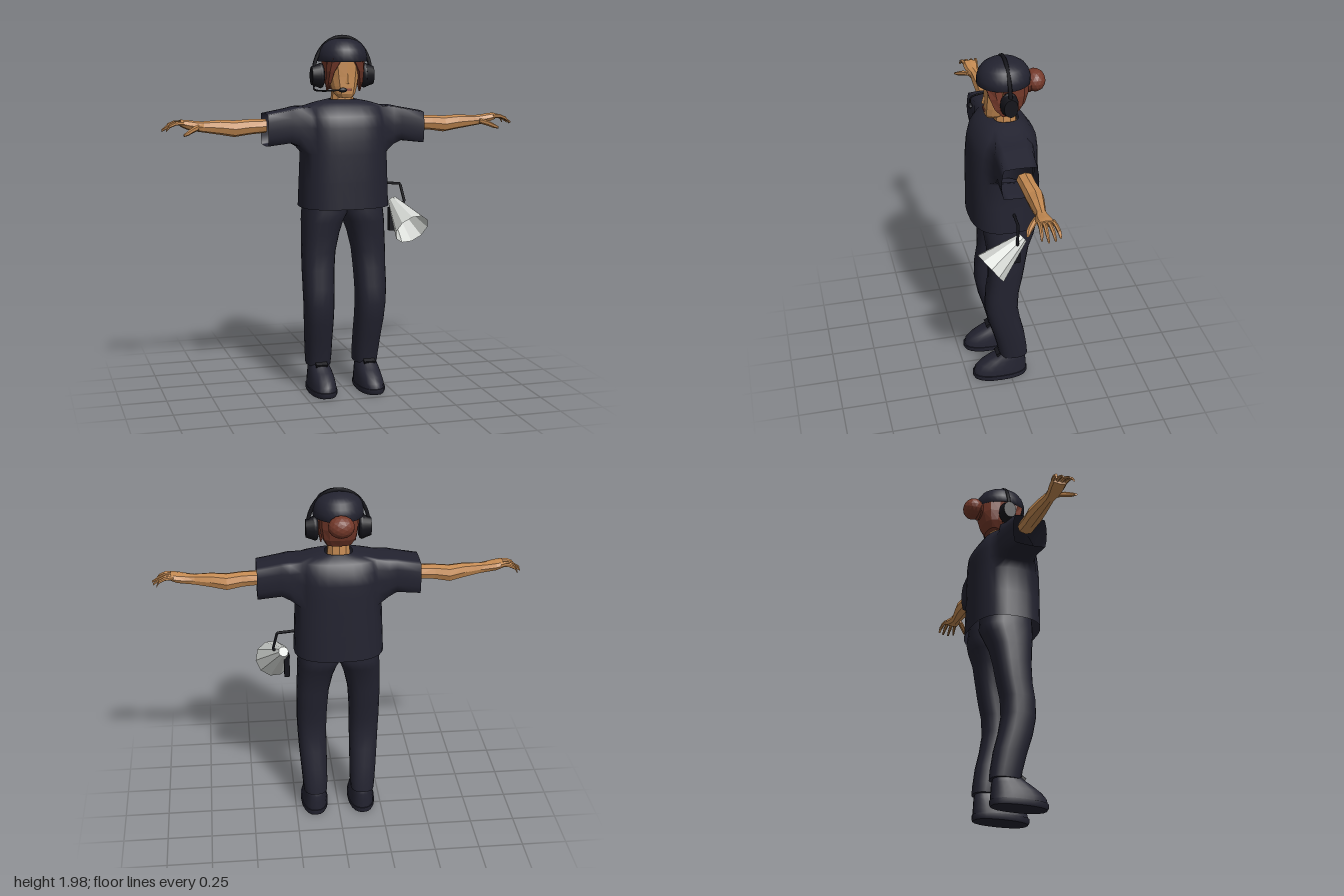
import * as THREE from 'three';

const mat = (name, color, extra = {}) => new THREE.MeshStandardMaterial({ name, color, ...extra });
const V = (x, y, z) => new THREE.Vector3(x, y, z);

// Rounded-box cross-section: across a horizontal plane (axis y) or an upright one (axis x)
function ring(axis, pos, a0, a1, z0, z1, n, p) {
  const pts = [];
  for (let j = 0; j < n; j++) {
    const t = (j / n) * Math.PI * 2, c = Math.cos(t), s = Math.sin(t);
    const a = (a0 + a1) / 2 + (a1 - a0) / 2 * Math.sign(c) * Math.abs(c) ** p;
    const z = (z0 + z1) / 2 + (z1 - z0) / 2 * Math.sign(s) * Math.abs(s) ** p;
    pts.push(axis === 'y' ? V(a, pos, z) : V(pos, a, z));
  }
  return pts;
}

// Closed skin over a row of cross-sections, with capped ends, always facing outward
function loft(rings) {
  const n = rings[0].length, pos = [], idx = [];
  rings.forEach(r => r.forEach(p => pos.push(p.x, p.y, p.z)));
  for (let i = 0; i < rings.length - 1; i++) for (let j = 0; j < n; j++) {
    const a = i * n + j, b = i * n + (j + 1) % n;
    idx.push(a, a + n, b + n, a, b + n, b);
  }
  [rings[0], rings[rings.length - 1]].forEach((r, e) => {
    const base = pos.length / 3;
    r.forEach(p => pos.push(p.x, p.y, p.z));
    for (let j = 1; j < n - 1; j++) idx.push(base, base + (e ? j + 1 : j), base + (e ? j : j + 1));
  });
  let volume = 0;
  const at = i => V(pos[i * 3], pos[i * 3 + 1], pos[i * 3 + 2]);
  for (let i = 0; i < idx.length; i += 3) volume += at(idx[i]).dot(at(idx[i + 1]).cross(at(idx[i + 2])));
  if (volume < 0) idx.reverse();
  const g = new THREE.BufferGeometry();
  g.setAttribute('position', new THREE.Float32BufferAttribute(pos, 3));
  g.setIndex(idx);
  g.computeVertexNormals();
  return g;
}
const loftY = (rows, n, p) => loft(rows.map(([y, x0, x1, z0, z1]) => ring('y', y, x0, x1, z0, z1, n, p)));
const loftX = (rows, n, p) => loft(rows.map(([x, y0, y1, z0, z1]) => ring('x', x, y0, y1, z0, z1, n, p)));

// Loose shirt: torso rings with a hole on each side, from which hollow sleeves grow
function shirtGeometry() {
  const rows = [[1.05, .248, -.18, .205], [1.2, .242, -.175, .205], [1.35, .236, -.172, .205], [1.42, .236, -.17, .2],
    [1.49, .236, -.168, .193], [1.55, .235, -.16, .178], [1.6, .225, -.125, .14], [1.622, .15, -.098, .1], [1.637, .075, -.075, .06]];
  const n = 32, pos = [], idx = [], lo = 2, hi = 6, w = 3;
  const quad = (a, b, c, d) => idx.push(a, b, c, a, c, d);
  const id = (i, j) => i * n + (j + n) % n;
  rows.forEach(([y, x, z0, z1]) => ring('y', y, -x, x, z0, z1, n, .75).forEach(p => pos.push(p.x, p.y, p.z)));
  for (let i = 0; i < rows.length - 1; i++) for (let j = 0; j < n; j++) {
    const side = (j + w) % (n / 2) < 2 * w;
    if (!(side && i >= lo && i < hi)) quad(id(i, j), id(i + 1, j), id(i + 1, j + 1), id(i, j + 1));
  }
  for (const [s, c] of [[1, 0], [-1, n / 2]]) {
    const edge = [];
    for (let i = lo; i < hi; i++) edge.push([i, -w]);
    for (let k = -w; k < w; k++) edge.push([hi, k]);
    for (let i = hi; i > lo; i--) edge.push([i, w]);
    for (let k = w; k > -w; k--) edge.push([lo, k]);
    let prev = edge.map(([i, k]) => id(i, c + k));
    for (const [x, y0, y1, z0, z1] of [[.265, 1.385, 1.602, -.105, .115], [.31, 1.405, 1.592, -.09, .112], [.44, 1.39, 1.568, -.083, .112]]) {
      const next = edge.map(([i, k]) => {
        const u = s * k / w, v = (i - lo) / (hi - lo) * 2 - 1;
        const uu = u * Math.sqrt(1 - .2 * v * v), vv = v * Math.sqrt(1 - .12 * u * u);
        pos.push(s * x, (y0 + y1) / 2 + vv * (y1 - y0) / 2, (z0 + z1) / 2 + uu * (z1 - z0) / 2);
        return pos.length / 3 - 1;
      });
      next.forEach((_, k) => { const m = (k + 1) % next.length; quad(prev[k], prev[m], next[m], next[k]); });
      prev = next;
    }
  }
  const g = new THREE.BufferGeometry();
  g.setAttribute('position', new THREE.Float32BufferAttribute(pos, 3));
  g.setIndex(idx);
  g.computeVertexNormals();
  return g;
}

export function createModel() {
  const cloth = mat('navyCloth', 0x232330, { side: THREE.DoubleSide });
  const black = mat('blackPlastic', 0x14141a);
  const skin = mat('skin', 0xc48a52, { flatShading: true });
  const hairMat = mat('auburnHair', 0x74392a, { flatShading: true });
  const lipMat = mat('lips', 0x8f4a3c);
  const grey = mat('paleMetal', 0xd3d6d2, { flatShading: true, side: THREE.DoubleSide });

  const model = new THREE.Group();
  const add = (name, geo, m, x = 0, y = 0, z = 0) => {
    const mesh = new THREE.Mesh(geo, m);
    mesh.name = name;
    mesh.position.set(x, y, z);
    model.add(mesh);
    return mesh;
  };
  const tube = (pts, r, smooth) => {
    let path = new THREE.CatmullRomCurve3(pts);
    if (!smooth) {
      path = new THREE.CurvePath();
      for (let i = 1; i < pts.length; i++) path.add(new THREE.LineCurve3(pts[i - 1], pts[i]));
    }
    return new THREE.TubeGeometry(path, 32, r, 6);
  };

  add('shirt', shirtGeometry(), cloth);

  for (const s of [1, -1]) {
    const side = s > 0 ? 'left' : 'right';
    const mx = rows => rows.map(([y, a, b, c, d]) => [y, s * a, s * b, c, d]);
    const ax = rows => rows.map(([x, ...r]) => [s * x, ...r]);

    // Trouser leg, its upper end forming half of the hips
    add(side + 'Leg', loftY(mx([[.145, .07, .205, -.105, .06], [.2, .066, .21, -.1, .07], [.3, .066, .218, -.085, .095],
      [.4, .066, .226, -.06, .125], [.5, .066, .232, -.043, .143], [.6, .064, .236, -.047, .14], [.7, .06, .236, -.068, .125],
      [.8, .052, .236, -.085, .122], [.9, .03, .232, -.105, .13], [.97, .006, .23, -.135, .14], [1.02, -.02, .225, -.15, .145],
      [1.12, -.03, .215, -.14, .14]]), 20, .8), cloth);

    // Shoe upper, sole and lacing
    add(side + 'Shoe', loftY(mx([[.03, .064, .212, -.1, .212], [.06, .066, .21, -.1, .205], [.09, .07, .205, -.098, .178],
      [.12, .076, .2, -.096, .13], [.145, .085, .195, -.09, .085], [.17, .095, .185, -.075, .06]]), 20, .85), cloth);
    add(side + 'Sole', loftY(mx([[0, .066, .212, -.1, .21], [.012, .06, .217, -.105, .218], [.032, .06, .217, -.105, .218]]), 20, .85), cloth);
    add(side + 'Laces', new THREE.BoxGeometry(.065, .022, .025), black, s * .14, .155, .068).rotation.x = .5;

    // Bare arm and palm
    add(side + 'Arm', loftX(ax([[.43, 1.46, 1.535, -.055, .035], [.52, 1.452, 1.535, -.055, .03], [.6, 1.44, 1.53, -.066, .026],
      [.68, 1.455, 1.535, -.05, .026], [.77, 1.47, 1.53, -.032, .022], [.81, 1.477, 1.532, -.036, .035],
      [.86, 1.488, 1.54, -.045, .042], [.895, 1.505, 1.542, -.046, .042]]), 8, .85), skin);
    // Fingers and thumb
    [[-.036, -.052, .97], [-.013, -.022, .99], [.01, .013, .995], [.032, .042, .975]].forEach(([z0, z1, tip], f) => {
      const z = t => z0 + (z1 - z0) * t, rows = [[.88, 1.526, .011, 0], [.925, 1.524, .0105, .4], [.957, 1.51, .0095, .75], [tip, 1.487, .006, 1]];
      add(side + 'Finger' + (f + 1), loftX(ax(rows.map(([x, y, r, t]) => [x, y - r, y + r, z(t) - r, z(t) + r])), 6, 1), skin);
    });
    add(side + 'Thumb', loftX(ax([[.8, 1.485, 1.515, .01, .04], [.835, 1.474, 1.505, .035, .07],
      [.865, 1.462, 1.488, .062, .092], [.89, 1.458, 1.472, .08, .098]]), 6, 1), skin);

    // Ear cup with its cushion
    const cup = add(side + 'EarCup', new THREE.CylinderGeometry(.05, .066, .045, 20), black, s * .152, 1.765, 0);
    cup.rotation.z = -s * Math.PI / 2;
    cup.scale.z = .74;
    const pad = add(side + 'EarPad', new THREE.TorusGeometry(.048, .018, 8, 20), black, s * .125, 1.765, 0);
    pad.rotation.y = Math.PI / 2;
    pad.scale.set(.74, 1.05, 1);

    // Lock of hair framing the face
    add(side + 'FringeLock', loftY(mx([[1.68, .088, .096, .01, .03], [1.73, .074, .104, 0, .075], [1.79, .058, .106, .02, .1],
      [1.86, .01, .106, .03, .12]]), 6, .9), hairMat);
  }

  // Neck and head
  add('neck', new THREE.CylinderGeometry(.058, .068, .11, 10), skin, 0, 1.635, -.004);
  add('head', loftY([[1.648, -.036, .036, .02, .098], [1.668, -.056, .056, -.03, .108], [1.71, -.07, .07, -.06, .109],
    [1.76, -.08, .08, -.09, .108], [1.81, -.088, .088, -.1, .108], [1.87, -.09, .09, -.11, .108]], 12, .8), skin);
  const nose = add('nose', new THREE.ConeGeometry(.016, .055, 4), skin, 0, 1.752, .108);
  nose.scale.z = .8;
  add('mouth', new THREE.BoxGeometry(.042, .013, .006), lipMat, 0, 1.692, .109);

  // Hair and bun
  add('hair', loftY([[1.69, -.07, .07, -.085, -.01], [1.73, -.094, .094, -.11, .02], [1.79, -.104, .104, -.128, .05],
    [1.86, -.108, .108, -.132, .07]], 12, .85), hairMat);
  add('bun', new THREE.IcosahedronGeometry(1, 2), hairMat, 0, 1.83, -.165).scale.set(.07, .06, .057);
  add('bunTie', new THREE.TorusGeometry(.045, .014, 6, 14), hairMat, 0, 1.825, -.132);

  // Cap
  const dome = [[.9, 0], [1, 0], [.99, .035], [.93, .065], [.8, .092], [.58, .113], [.3, .123], [0, .126]];
  add('cap', new THREE.LatheGeometry(dome.map(([r, y]) => new THREE.Vector2(r, y)), 28), cloth, 0, 1.842, .002).scale.set(.135, 1, .143);

  // Headset band and microphone
  const arc = [];
  for (let i = 0; i <= 12; i++) {
    const t = Math.PI * i / 12;
    arc.push(V(.162 * Math.cos(t), 1.775 + .2 * Math.sin(t), 0));
  }
  add('headband', tube(arc, .011, true), black);
  add('microphoneBoom', tube([V(-.16, 1.72, .01), V(-.175, 1.695, .06), V(-.15, 1.69, .14), V(-.05, 1.695, .172)], .005, true), black);
  add('microphone', new THREE.SphereGeometry(.013, 12, 8), black, -.045, 1.695, .172).scale.x = 1.9;

  // Megaphone hanging at the hip, aimed forward and down
  const horn = new THREE.Group();
  horn.name = 'megaphone';
  const back = V(.31, 1.045, -.02), axis = V(.358, .918, .155).sub(back);
  horn.position.copy(back);
  horn.quaternion.setFromUnitVectors(V(0, 1, 0), axis.clone().normalize());
  const len = axis.length();
  const part = (name, geo, m, y) => {
    const mesh = new THREE.Mesh(geo, m);
    mesh.name = name;
    mesh.position.y = y;
    horn.add(mesh);
  };
  part('bell', new THREE.CylinderGeometry(.102, .034, len, 10, 1, true), grey, len / 2);
  part('hornBack', new THREE.CylinderGeometry(.034, .028, .02, 10), grey, -.008);
  part('hornDriver', new THREE.CylinderGeometry(.012, .02, len * .6, 8), black, len * .3);
  model.add(horn);
  add('megaphoneGrip', new THREE.BoxGeometry(.03, .13, .036), black, .288, .955, -.005);
  add('megaphoneHanger', tube([V(.225, 1.165, 0), V(.338, 1.155, 0), V(.363, 1.05, .01), V(.315, 1.04, -.01)], .008, false), black);

  return model;
}
